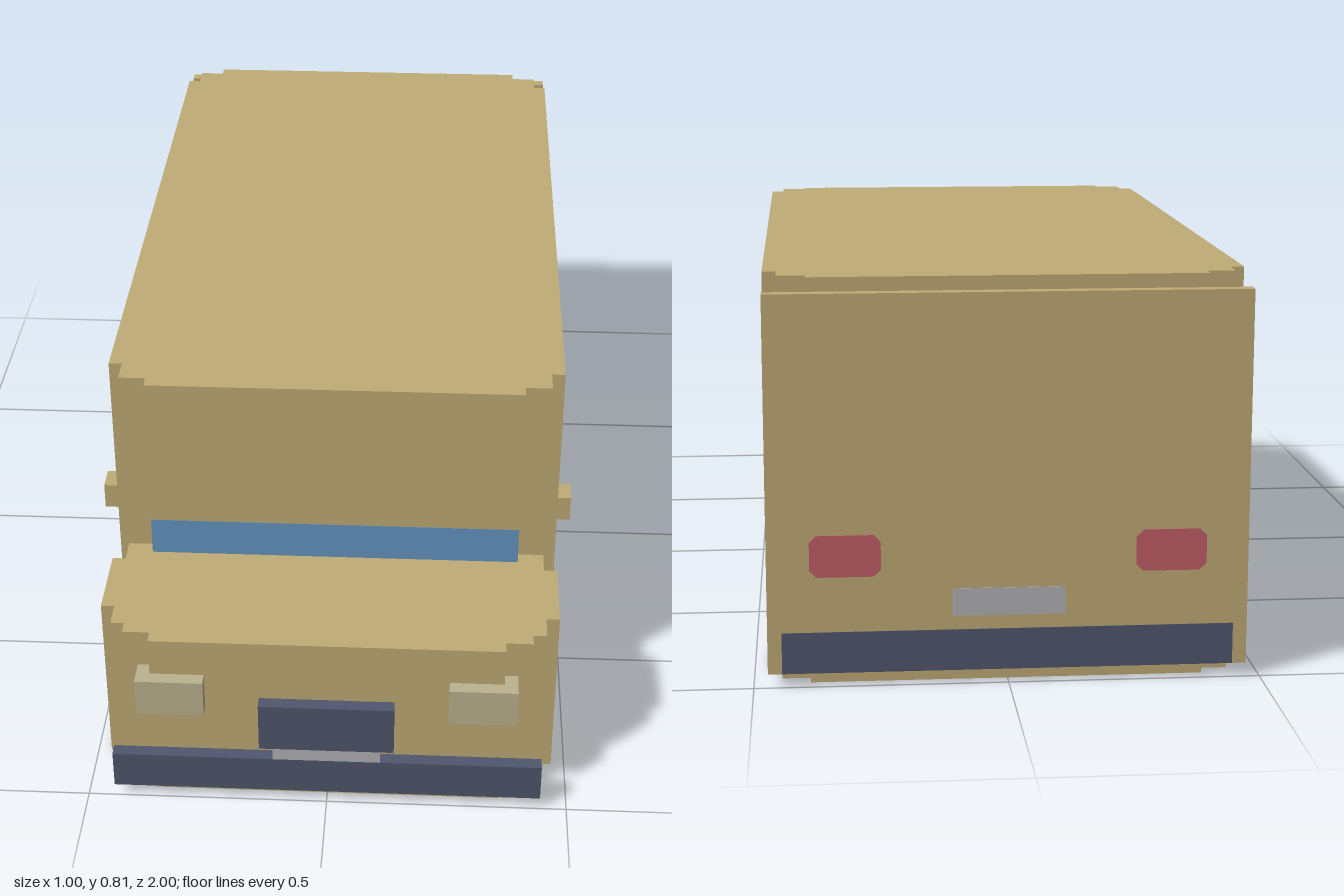
import * as THREE from 'three';

const U = 1 / 36; // one block; all sizes below are in blocks

const paint = (name, color) => {
  const m = new THREE.MeshStandardMaterial({ color });
  m.name = name;
  return m;
};

// Stepped outline of a wheel arch, traced from rear to front
const ARCH = [6.5, 7.5, 7.5, 7.5, 7.5, 7.5, 6.5, 6.5, 5.5, 4.5, 2.5];
function archPoints(c) {
  const side = (s) => ARCH.flatMap((h, k) => [[c + s * h, k], [c + s * h, k + 1]]);
  return [...side(-1), ...side(1).reverse()];
}

const shapeOf = (pts) => new THREE.Shape(pts.map(([a, b]) => new THREE.Vector2(a, b)));

// Extrudes a (z, y) side outline across x0..x1
function sideSlab(shape, x0, x1) {
  const g = new THREE.ExtrudeGeometry(shape, { depth: x1 - x0, bevelEnabled: false });
  g.rotateY(-Math.PI / 2);
  g.translate(x1, 0, 0);
  return g;
}

// Rectangle with slightly clipped corners
function clipped(a0, b0, a1, b1, c = 0.35) {
  return [[a0 + c, b0], [a1 - c, b0], [a1, b0 + c], [a1, b1 - c],
    [a1 - c, b1], [a0 + c, b1], [a0, b1 - c], [a0, b0 + c]];
}

export function createModel() {
  const model = new THREE.Group();
  model.name = 'van';
  const tan = paint('tan body', 0xbfab75);
  const blue = paint('blue glass', 0x6594c0);
  const navy = paint('navy trim', 0x50566d);
  const red = paint('red', 0xc05c66);
  const copper = paint('copper badge', 0xb5834f);
  const rust = paint('rust seat', 0xb98358);
  const lamp = paint('pale lamp', 0xbbb28f);
  const grey = paint('light grey', 0xb3b1b4);

  const add = (name, geometry, material) => {
    geometry.scale(U, U, U);
    const mesh = new THREE.Mesh(geometry, material);
    mesh.name = name;
    model.add(mesh);
  };
  const box = (name, material, x0, x1, y0, y1, z0, z1) => {
    const g = new THREE.BoxGeometry(x1 - x0, y1 - y0, z1 - z0);
    g.translate((x0 + x1) / 2, (y0 + y1) / 2, (z0 + z1) / 2);
    add(name, g, material);
  };

  // Body: vertical slices [x0, x1, rear z, hood front z, cab front z, cabin front z]
  const slices = [
    [-10, 10, -35, 35, 24, 23],
    [10, 13, -35, 35, 24, 23],
    [13, 14, -35, 34, 24, 23],
    [14, 15, -34, 34, 23, 22],
    [15, 16, -34, 33, 23, 22],
    [16, 17, -32, 31, 21, 19],
  ];
  for (const [x0, x1, rear, hood, cab, cabin] of slices) {
    const arches = x0 > 0 ? [...archPoints(-21.5), ...archPoints(21.5)] : [];
    const recess = x1 === 17 ? [[25, 14], [25, 11.02], [21, 11.02]] : [];
    const outline = shapeOf([[rear, 0], ...arches, [hood, 0], [hood, 14],
      ...recess, [cab, 14], [cab, 29], [rear, 29]]);
    outline.holes.push(shapeOf([[9, 15], [9, 25], [cabin, 25], [cabin, 15]]));
    add('bodySlice', sideSlab(outline, x0, x1), tan);
    if (x0 > 0) add('bodySlice', sideSlab(outline, -x1, -x0), tan);
  }

  // Windscreen strip
  box('windscreen', blue, -14.02, 14.02, 14, 17, 22.9, 24.02);

  // Front trim
  box('frontBumper', navy, -16, 16, 1, 4, 35, 36);
  box('grille', navy, -5, 5, 5, 9, 35, 36);
  box('frontPlate', grey, -4, 4, 4, 5, 35, 36);

  // Rear door panel and its flush details
  box('rearPanel', tan, -17, 17, 1, 28, -36, -35);
  box('rearBumper', navy, -16, 16, 1.02, 4, -36.06, -35.9);
  box('rearPlate', grey, -4, 4, 5, 7, -36.06, -35.9);

  for (const s of [-1, 1]) {
    // Mirrored boxes, given by their inner and outer x
    const pair = (name, material, a, b, ...rest) =>
      box(name, material, Math.min(s * a, s * b), Math.max(s * a, s * b), ...rest);
    pair('headlight', lamp, 9, 14, 8, 11, 34, 36);
    pair('mirror', tan, 17, 18, 16, 18, 19, 21);
    pair('seatBack', rust, 3, 15, 15, 24, 11, 13);
    pair('seatCushion', rust, 3, 15, 15, 16, 13, 17);

    // Tail light
    const tail = new THREE.ExtrudeGeometry(
      shapeOf(clipped(s * 11.5 - 2.5, 8, s * 11.5 + 2.5, 11, 0.5)), { depth: 0.16, bevelEnabled: false });
    tail.translate(0, 0, -36.06);
    add('tailLight', tail, red);

    // Side stripe and badge
    const onSide = (name, pts, lift, material) => {
      const [x0, x1] = s > 0 ? [16.9, 17 + lift] : [-17 - lift, -16.9];
      add(name, sideSlab(shapeOf(pts), x0, x1), material);
    };
    onSide('sideStripe', clipped(-31, 15, 6, 22), 0.06, red);
    onSide('sideBadge', [[-18.6, 16], [-8.4, 16], [-8, 16.4], [-8, 20.6], [-8.4, 21], [-9.6, 21],
      [-10, 21.4], [-10, 22], [-17, 22], [-17, 21.4], [-17.4, 21], [-18.6, 21],
      [-19, 20.6], [-19, 16.4]], 0.12, copper);
  }
  return model;
}
